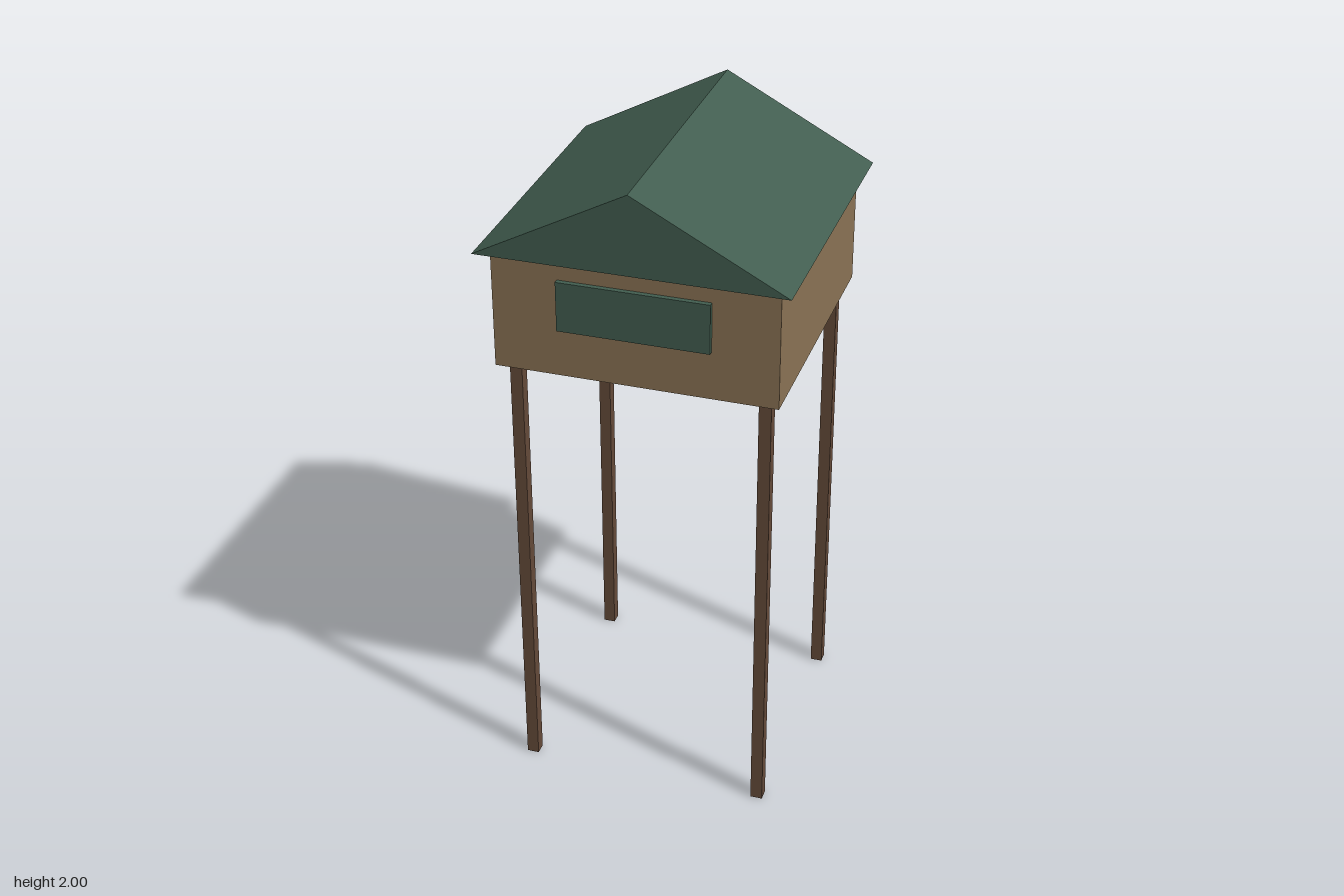
import * as THREE from 'three';

function material(name, color) {
  const m = new THREE.MeshStandardMaterial({ color });
  m.name = name;
  return m;
}

export function createModel() {
  const model = new THREE.Group();
  model.name = 'stiltCabin';
  const wallWood = material('wallWood', 0x8b7355);
  const postWood = material('postWood', 0x654b3a);
  const roofGreen = material('roofGreen', 0x425e50);

  const eaveY = 1.763, floorY = 1.403;

  function add(name, geometry, mat, x, y, z) {
    const mesh = new THREE.Mesh(geometry, mat);
    mesh.name = name;
    mesh.position.set(x, y, z);
    model.add(mesh);
  }

  // Four square stilts
  const post = new THREE.BoxGeometry(0.036, floorY, 0.036);
  for (const x of [-1, 1]) {
    for (const z of [-1, 1]) {
      add((z > 0 ? 'front' : 'back') + (x > 0 ? 'Left' : 'Right') + 'Post',
        post, postWood, x * 0.364, floorY / 2, z * 0.364);
    }
  }

  // Cabin on top of the stilts
  add('cabin', new THREE.BoxGeometry(0.823, eaveY - floorY, 0.83), wallWood,
    0, (floorY + eaveY) / 2, 0);

  // Window panel, set into the front wall and standing slightly proud
  add('window', new THREE.BoxGeometry(0.44, 0.15, 0.03), roofGreen, 0, 1.624, 0.415);

  // Solid gable roof with its ridge running front to back
  const gable = new THREE.Shape([
    new THREE.Vector2(-0.449, 0),
    new THREE.Vector2(0.449, 0),
    new THREE.Vector2(0, 2 - eaveY),
  ]);
  const roof = new THREE.ExtrudeGeometry(gable, { depth: 0.914, bevelEnabled: false });
  add('roof', roof, roofGreen, 0, eaveY, -0.457);

  return model;
}
